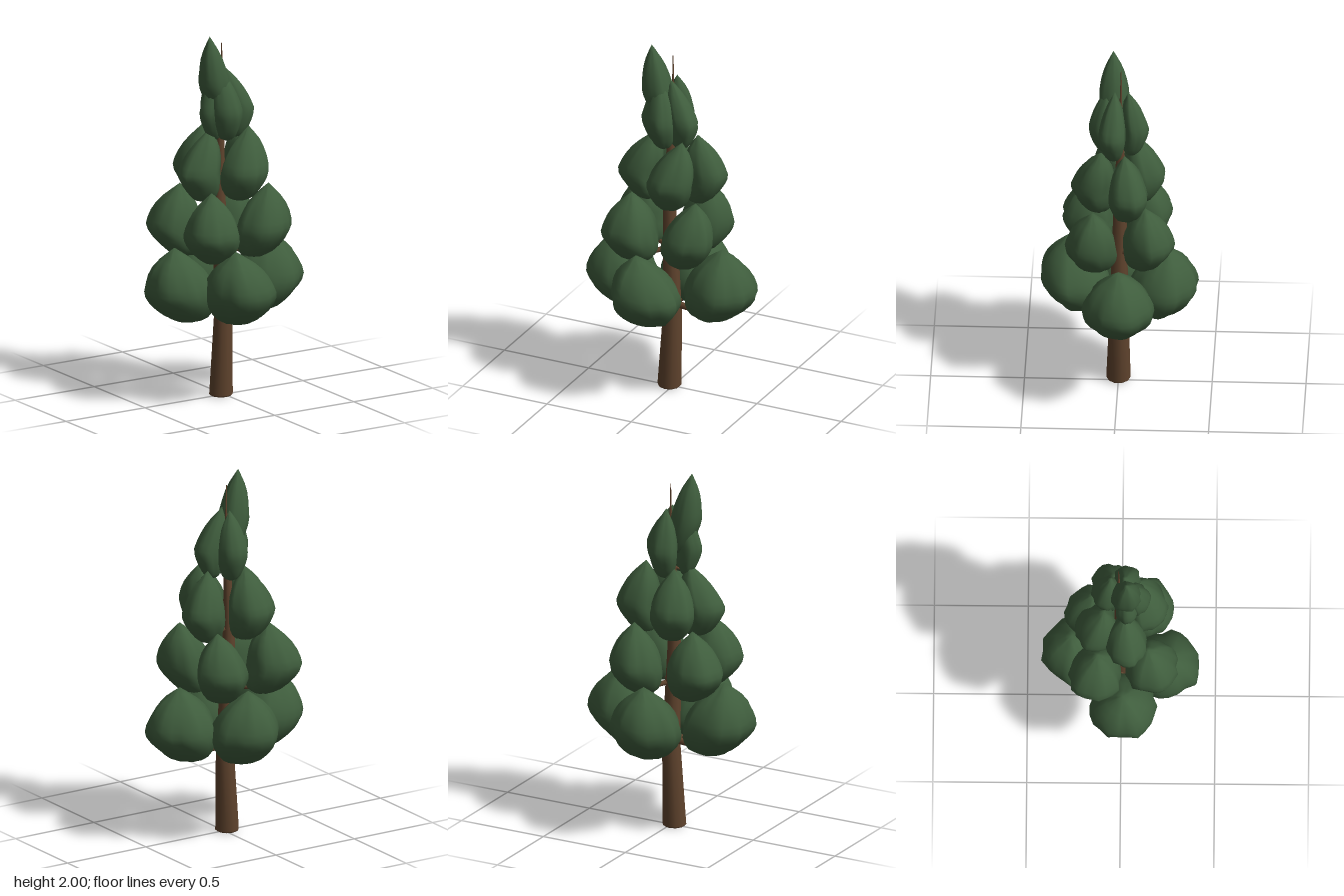
import * as THREE from 'three';
import { mergeVertices } from 'three/addons/utils/BufferGeometryUtils.js';

const foliage = new THREE.MeshStandardMaterial({ color: 0x3f5d3d });
foliage.name = 'foliage green';
const bark = new THREE.MeshStandardMaterial({ color: 0x5f432d });
bark.name = 'bark brown';

// Teardrop outline: rounded below, full shoulders, blunt point above
const OUTLINE = new THREE.SplineCurve([[0, 0], [0.55, 0.06], [0.94, 0.28], [0.97, 0.5], [0.64, 0.77], [0, 1]]
  .map(([r, t]) => new THREE.Vector2(r, t))).getPoints(13);

// Each clump: x, z, half width, tip x. Tips move towards the trunk in z by tipPull,
// undersides draw in to the trunk by tuck.
const TIERS = [
  { name: 'lowest', bottom: 0.44, height: 0.42, depth: 0.97, tipPull: 1.1, tuck: 0.2, clumps: [
    [0.28, -0.01, 0.19, 0.29], [-0.285, 0.01, 0.187, -0.32],
    [-0.045, 0.235, 0.187, -0.09], [0.025, -0.24, 0.187, 0.02]] },
  { name: 'second', bottom: 0.77, height: 0.4, depth: 0.96, tipPull: 0.88, tuck: 0.25, clumps: [
    [-0.18, 0.165, 0.147, -0.17], [0.155, 0.145, 0.14, 0.2],
    [0.125, -0.17, 0.138, 0.14], [-0.23, -0.14, 0.147, -0.2]] },
  { name: 'third', bottom: 1.09, height: 0.4, depth: 0.9, tipPull: 0.65, tuck: 0.25, clumps: [
    [0.045, 0.135, 0.125, 0.1], [-0.18, 0.03, 0.117, -0.1],
    [0.17, -0.06, 0.115, 0.13], [-0.085, -0.14, 0.122, -0.07]] },
  { name: 'upper', bottom: 1.42, height: 0.39, depth: 0.9, tipPull: 0.6, tuck: 0.25, clumps: [
    [-0.03, 0.085, 0.08, -0.05], [0.08, 0.03, 0.08, 0],
    [0, -0.09, 0.078, 0], [-0.1, 0.03, 0.065, -0.06]] },
  { name: 'crown', bottom: 1.54, height: 0.46, depth: 1, tipPull: 1.2, tuck: 0.7, clumps: [
    [-0.075, 0.025, 0.08, -0.11]] },
];

// A lathed teardrop with a leaning axis and uneven ridges
function clumpGeometry([x, z, radius, tipX], { bottom, height, depth, tipPull, tuck }, seed) {
  const g = new THREE.LatheGeometry(OUTLINE, 22);
  const p = g.attributes.position;
  for (let i = 0; i < p.count; i++) {
    const px = p.getX(i), t = p.getY(i), pz = p.getZ(i);
    const a = Math.atan2(pz, px);
    const bump = 1 + 0.035 * Math.sin(4 * a + seed * 2.1) + 0.04 * Math.sin(7 * a + seed * 3.7 + t * 2)
      + 0.03 * Math.sin(10 * a + seed + t * 7);
    const low = Math.max(0, 1 - t / 0.4), high = Math.max(0, (t - 0.4) / 0.6);
    p.setXYZ(i,
      x * (1 - tuck * low) + (tipX - x) * high + px * radius * bump,
      bottom + height * t,
      z * (1 - tuck * low) + z * (tipPull - 1) * high + pz * radius * depth * bump);
  }
  g.deleteAttribute('uv');
  g.deleteAttribute('normal');
  const merged = mergeVertices(g, 1e-4);
  merged.computeVertexNormals();
  return merged;
}

// A tapered branch between two points
function branch(from, to, radius) {
  const dir = to.clone().sub(from);
  const mesh = new THREE.Mesh(new THREE.CylinderGeometry(radius * 0.5, radius, dir.length(), 6), bark);
  mesh.position.copy(from).addScaledVector(dir, 0.5);
  mesh.quaternion.setFromUnitVectors(new THREE.Vector3(0, 1, 0), dir.normalize());
  mesh.name = 'branch';
  return mesh;
}

// Trunk: tapers to a thin leader and sways slightly on the way up
function trunkMesh() {
  const height = 1.94;
  const profile = [[0, 0], [0.056, 0], [0.065, 0.01], [0.05, 0.45], [0.042, 0.8], [0.034, 1.1],
    [0.021, 1.45], [0.008, 1.7], [0.002, height]].map(([r, y]) => new THREE.Vector2(r, y));
  const g = new THREE.LatheGeometry(profile, 10);
  const p = g.attributes.position;
  for (let i = 0; i < p.count; i++) {
    const t = p.getY(i) / height;
    p.setX(i, p.getX(i) - 0.014 + 0.011 * Math.cos((t - 0.23) * 9));
    p.setZ(i, p.getZ(i) - 0.015 * t);
  }
  g.deleteAttribute('uv');
  g.deleteAttribute('normal');
  const merged = mergeVertices(g, 1e-4);
  merged.computeVertexNormals();
  const mesh = new THREE.Mesh(merged, bark);
  mesh.name = 'trunk';
  return mesh;
}

export function createModel() {
  const tree = new THREE.Group();
  tree.name = 'conifer';
  tree.add(trunkMesh());

  // Tiers of foliage, each clump carried by a branch
  let seed = 1;
  for (const tier of TIERS) {
    const group = new THREE.Group();
    group.name = tier.name + 'Tier';
    const root = new THREE.Vector3(-0.01, tier.bottom + 0.05, -0.005);
    for (const clump of tier.clumps) {
      const mesh = new THREE.Mesh(clumpGeometry(clump, tier, seed++), foliage);
      mesh.name = 'foliageClump';
      const end = new THREE.Vector3(clump[0] * 0.8, tier.bottom + 0.02, clump[1] * 0.8);
      group.add(mesh, branch(root, end, 0.026 - 0.012 * tier.bottom));
    }
    tree.add(group);
  }
  return tree;
}
